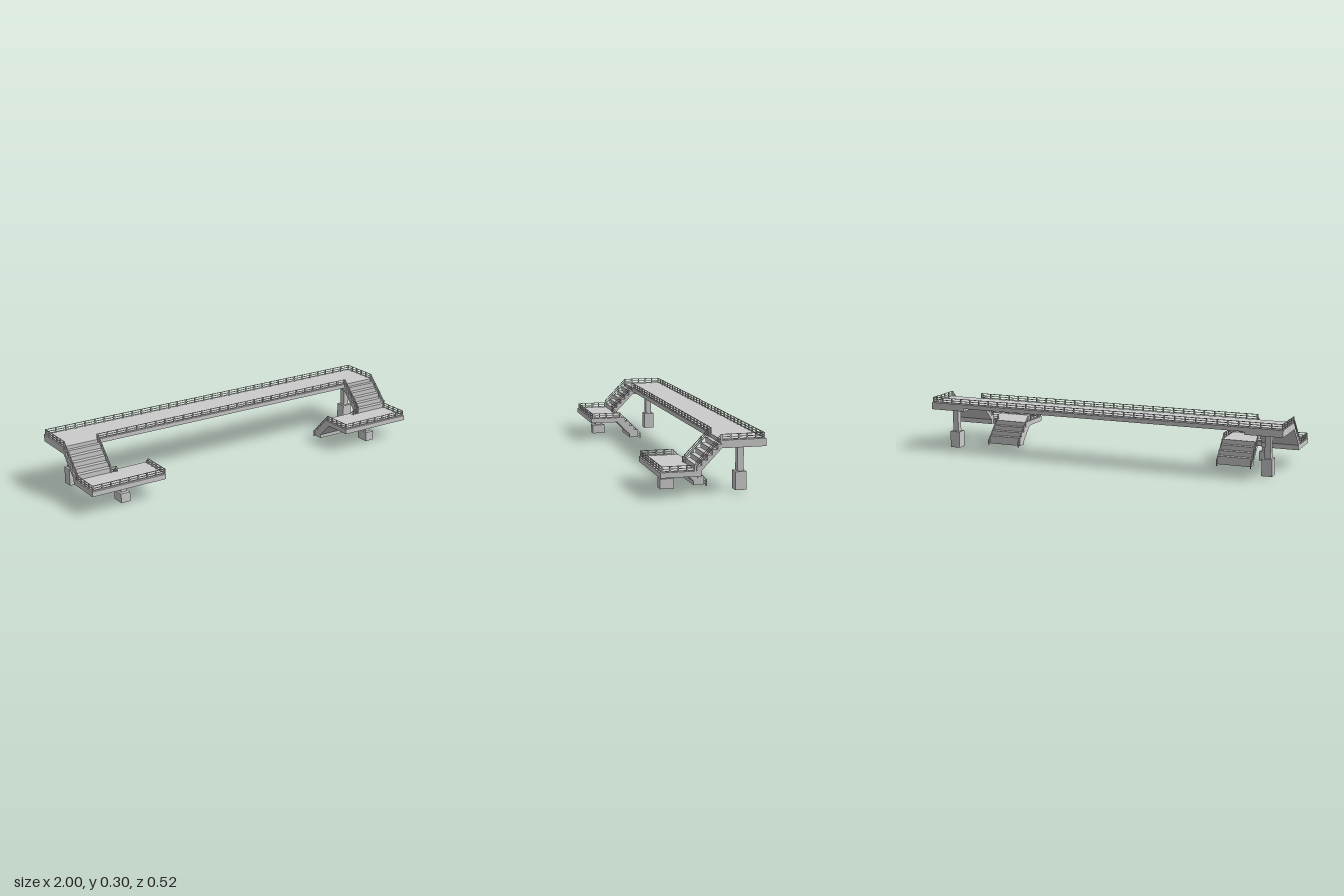
import * as THREE from 'three';
import { mergeGeometries } from 'three/addons/utils/BufferGeometryUtils.js';

const material = new THREE.MeshStandardMaterial({ color: 0xcccccc, flatShading: true });

function addMesh(parent, name, geometry) {
  const mesh = new THREE.Mesh(geometry, material);
  mesh.name = name;
  parent.add(mesh);
}

// Box given by its extents on each axis
function addBlock(parent, name, [xa, xb], [ya, yb], [za, zb]) {
  const g = new THREE.BoxGeometry(Math.abs(xb - xa), yb - ya, zb - za);
  addMesh(parent, name, g.translate((xa + xb) / 2, (ya + yb) / 2, (za + zb) / 2));
}

// Side profile of [z, y] points, extruded across x
function addProfile(parent, name, xa, xb, points) {
  const shape = new THREE.Shape(points.map(([z, y]) => new THREE.Vector2(z, y)));
  const g = new THREE.ExtrudeGeometry(shape, { depth: Math.abs(xb - xa), bevelEnabled: false });
  addMesh(parent, name, g.rotateY(-Math.PI / 2).translate(Math.max(xa, xb), 0, 0));
}

// Posts and three bars between two base points; drop lengthens the posts downwards
function addRailing(parent, name, from, to, posts, height = 0.029, drop = 0) {
  const a = new THREE.Vector3(...from), b = new THREE.Vector3(...to);
  const parts = [];
  for (let i = 0; i < posts; i++) {
    const p = a.clone().lerp(b, i / (posts - 1));
    const h = height + drop;
    parts.push(new THREE.BoxGeometry(0.006, h, 0.006).translate(p.x, p.y + height - h / 2, p.z));
  }
  const length = a.distanceTo(b);
  const turn = new THREE.Quaternion().setFromUnitVectors(
    new THREE.Vector3(0, 0, 1), b.clone().sub(a).normalize());
  for (const level of [0.15, 0.53, 0.95]) {
    const bar = new THREE.BoxGeometry(0.003, 0.003, length + 0.003).applyQuaternion(turn);
    const mid = a.clone().lerp(b, 0.5);
    parts.push(bar.translate(mid.x, mid.y + height * level, mid.z));
  }
  addMesh(parent, name, mergeGeometries(parts));
}

// Column standing on a wider footing
function addPier(parent, name, x, z, footX, footZ, footTop, top) {
  const pier = new THREE.Group();
  pier.name = name;
  addBlock(pier, 'footing', [x - footX / 2, x + footX / 2], [0.007, footTop], [z - footZ / 2, z + footZ / 2]);
  addBlock(pier, 'column', [x - 0.016, x + 0.016], [footTop, top], [z - 0.016, z + 0.016]);
  parent.add(pier);
}

// Stepped top edge running down from (z, y) in the direction dir
function steps(z, y, dir, count, run, rise) {
  const pts = [];
  for (let i = 0; i < count; i++) {
    pts.push([z + dir * run * i, y - rise * i], [z + dir * run * i, y - rise * (i + 1)]);
  }
  return pts;
}

function addAccess(parent, s) {
  const side = new THREE.Group();
  side.name = s > 0 ? 'leftAccess' : 'rightAccess';
  parent.add(side);

  // Thick deck end, landing and their supports
  addBlock(side, 'deckEnd', [s * 0.8, s], [0.23, 0.268], [-0.26, -0.04]);
  addBlock(side, 'landing', [s * 0.58, s], [0.101, 0.127], [0.083, 0.26]);
  addPier(side, 'deckPier', s * 0.9, -0.16, 0.056, 0.056, 0.097, 0.23);
  addPier(side, 'landingPier', s * 0.79, 0.178, 0.052, 0.07, 0.057, 0.101);

  // Upper flight from deck to landing
  addProfile(side, 'upperStairs', s * 0.8, s, [
    [0.083, 0.101], [0.06, 0.101], [0.06, 0.127], [-0.04, 0.23],
    ...steps(-0.04, 0.25, 1, 1, 0, 0).slice(0, 1),
    ...steps(-0.019, 0.25, 1, 5, 0.0255, 0.0246),
  ].reverse());

  // Lower flight from landing back to the ground
  addProfile(side, 'lowerStairs', s * 0.58, s * 0.768, [
    [0.105, 0.101], [0.105, 0.127],
    ...steps(0.058, 0.127, -1, 4, 0.0257, 0.0252),
    [-0.019, 0.007], [0.031, 0.007], [0.031, 0.026],
  ]);

  // Flight railings
  for (const x of [0.803, 0.994]) {
    addRailing(side, 'upperStairRailing', [s * x, 0.267, -0.037], [s * x, 0.142, 0.085], 4, 0.029, 0.014);
  }
  for (const x of [0.584, 0.77]) {
    addRailing(side, 'lowerStairRailing', [s * x, 0.122, 0.087], [s * x, 0, -0.033], 4, 0.033);
  }

  // Landing railings
  addRailing(side, 'landingOuterRailing', [s * 0.994, 0.127, 0.09], [s * 0.994, 0.127, 0.252], 5);
  addRailing(side, 'landingInnerRailing', [s * 0.584, 0.127, 0.09], [s * 0.584, 0.127, 0.252], 5);
  addRailing(side, 'landingFrontRailing', [s * 0.584, 0.127, 0.252], [s * 0.994, 0.127, 0.252], 9);
  addRailing(side, 'landingGapRailing', [s * 0.77, 0.127, 0.087], [s * 0.803, 0.127, 0.087], 2);

  // Deck end railing
  addRailing(side, 'deckSideRailing', [s * 0.994, 0.268, -0.042], [s * 0.994, 0.268, -0.25], 6);
}

export function createModel() {
  const bridge = new THREE.Group();
  bridge.name = 'footbridge';

  // Main span with its long railings
  addBlock(bridge, 'span', [-0.8, 0.8], [0.246, 0.268], [-0.26, -0.04]);
  addRailing(bridge, 'backRailing', [-0.994, 0.268, -0.25], [0.994, 0.268, -0.25], 36);
  addRailing(bridge, 'frontRailing', [-0.803, 0.268, -0.044], [0.803, 0.268, -0.044], 29);

  for (const s of [1, -1]) addAccess(bridge, s);
  return bridge;
}
